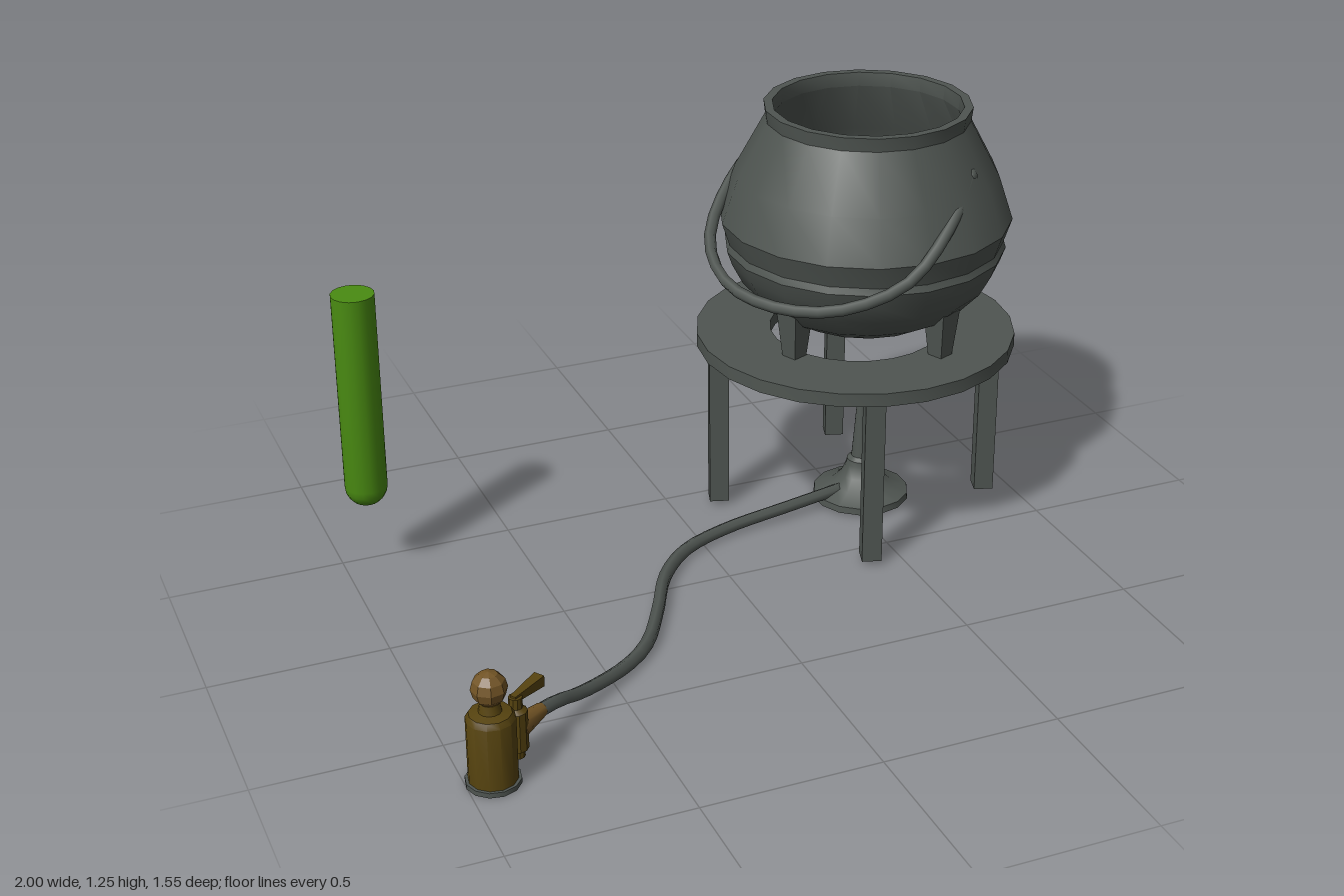
import * as THREE from 'three';
import { toCreasedNormals } from 'three/addons/utils/BufferGeometryUtils.js';

const mat = (name, color) => new THREE.MeshStandardMaterial({ name, color });

export function createModel() {
  const root = new THREE.Group();
  root.name = 'cauldronHeatingSet';

  const iron = mat('iron', 0x4f5551);
  const openIron = mat('hollowIron', 0x4f5551);
  openIron.side = THREE.DoubleSide;
  const brass = mat('brass', 0x725425);
  const darkBrass = mat('darkBrass', 0x56430f);
  const green = mat('greenGlass', 0x4a8c12);

  const add = (parent, name, geo, material, x = 0, y = 0, z = 0) => {
    const m = new THREE.Mesh(geo, material);
    m.name = name;
    m.position.set(x, y, z);
    parent.add(m);
    return m;
  };
  const group = (name, x, z) => {
    const g = new THREE.Group();
    g.name = name;
    g.position.set(x, 0, z);
    root.add(g);
    return g;
  };
  const lathe = (pts, seg, crease = 0.55) =>
    toCreasedNormals(new THREE.LatheGeometry(pts.map(p => new THREE.Vector2(p[0], p[1])), seg), crease);
  const curve = pts => new THREE.CatmullRomCurve3(pts.map(p => new THREE.Vector3(...p)));

  // Stand: ring top on four square legs
  const stand = group('stand', 0.53, -0.31);
  add(stand, 'standTop', lathe([
    [0.25, 0.525], [0.467, 0.525], [0.467, 0.565], [0.25, 0.565], [0.25, 0.525],
  ], 24), iron);
  for (let i = 0; i < 4; i++) {
    const a = 0.302 + i * Math.PI / 2;
    const leg = add(stand, 'standLeg', new THREE.BoxGeometry(0.057, 0.515, 0.057), iron,
      Math.cos(a) * 0.403, 0.27, Math.sin(a) * 0.403);
    leg.rotation.y = -a;
  }

  // Cauldron: hollow body with a groove below the widest line
  const pot = group('cauldron', 0.552, -0.305);
  add(pot, 'cauldronBody', lathe([
    [0, 0.597], [0.14, 0.602], [0.22, 0.62], [0.3, 0.665], [0.36, 0.73], [0.392, 0.79],
    [0.407, 0.832], [0.4, 0.852], [0.422, 0.92], [0.378, 1.05], [0.292, 1.21], [0.297, 1.25],
    [0.272, 1.25], [0.268, 1.21], [0.35, 1.05], [0.392, 0.92], [0.37, 0.81],
    [0.28, 0.69], [0.2, 0.65], [0, 0.63],
  ], 18, 0.6), iron);
  for (let i = 0; i < 4; i++) {
    const a = -0.405 + i * Math.PI / 2;
    const geo = new THREE.CylinderGeometry(0.052, 0.034, 0.14, 4, 1).rotateY(Math.PI / 4);
    const foot = add(pot, 'cauldronFoot', toCreasedNormals(geo, 0.5), iron,
      Math.cos(a) * 0.295, 0.633, Math.sin(a) * 0.295);
    foot.rotation.y = -a;
  }

  // Swinging handle, mirrored about its middle
  const half = [[0.33, 0, 1.1], [0.355, 0.15, 1.01], [0.32, 0.33, 0.89], [0.18, 0.46, 0.825]];
  const bail = [...half, [0, 0.5, 0.808], ...half.slice().reverse().map(([e, d, y]) => [-e, d, y])]
    .map(([e, d, y]) => [e * 0.57 - d * 0.82, y, e * 0.82 + d * 0.57]);
  add(pot, 'cauldronHandle', new THREE.TubeGeometry(curve(bail), 24, 0.017, 6), iron);
  for (const end of [bail[0], bail[bail.length - 1]]) {
    add(pot, 'handleLug', new THREE.SphereGeometry(0.022, 8, 6), iron, ...end);
  }

  // Burner: flared hollow foot, stem and brass nozzle
  const burner = group('burner', 0.555, -0.295);
  add(burner, 'burnerFoot', lathe([
    [0.145, 0.008], [0.143, 0.028], [0.09, 0.05], [0.06, 0.08], [0.045, 0.115],
    [0.043, 0.13], [0.03, 0.14], [0.017, 0.31],
  ], 14, 0.7), openIron);
  add(burner, 'burnerNozzle', toCreasedNormals(new THREE.CylinderGeometry(0.025, 0.025, 0.075, 10), 0.8),
    brass, 0, 0.348, 0);

  // Hose lying on the ground between tap and burner
  add(root, 'hose', new THREE.TubeGeometry(curve([
    [-0.77, 0.1, 0.59], [-0.71, 0.09, 0.55], [-0.62, 0.055, 0.485], [-0.45, 0.024, 0.365],
    [-0.36, 0.022, 0.28], [-0.27, 0.022, 0.13], [-0.18, 0.022, -0.04], [-0.07, 0.022, -0.155],
    [0.08, 0.024, -0.22], [0.3, 0.035, -0.255], [0.53, 0.045, -0.292],
  ]), 32, 0.019, 6), iron);

  // Gas tap: the local +x axis points along the hose
  const tap = group('gasTap', -0.93, 0.7);
  tap.rotation.y = 0.6;
  add(tap, 'tapBase', toCreasedNormals(new THREE.CylinderGeometry(0.072, 0.072, 0.014, 12), 0.8),
    iron, 0, 0.007, 0);
  add(tap, 'tapBody', lathe([
    [0, 0.013], [0.064, 0.013], [0.064, 0.19], [0.055, 0.205], [0.03, 0.21], [0.025, 0.235], [0, 0.235],
  ], 12), darkBrass);
  const ball = new THREE.SphereGeometry(0.047, 8, 6);
  add(tap, 'tapKnob', toCreasedNormals(ball, 0.2), brass, 0, 0.275, 0);
  add(tap, 'tapValve', lathe([
    [0, 0.02], [0.02, 0.02], [0.02, 0.04], [0.03, 0.045], [0.03, 0.155], [0.018, 0.165],
    [0.018, 0.195], [0, 0.195],
  ], 10), darkBrass, 0.1, 0, 0);
  const arm = new THREE.CylinderGeometry(0.019, 0.032, 0.1, 8).rotateZ(-Math.PI / 2);
  add(tap, 'tapOutlet', toCreasedNormals(arm, 0.9), brass, 0.155, 0.1, 0);

  // Lever widening toward its free end
  const lever = new THREE.CylinderGeometry(0.022, 0.012, 0.11, 4).rotateY(Math.PI / 4).rotateZ(-Math.PI / 2);
  add(tap, 'tapLever', toCreasedNormals(lever, 0.5), darkBrass, 0.145, 0.192, 0);

  // Round-bottomed green tube, floating apart
  const tube = [];
  for (let i = 0; i <= 5; i++) {
    const a = i / 5 * Math.PI / 2;
    tube.push([Math.sin(a) * 0.061, 0.275 - Math.cos(a) * 0.061]);
  }
  tube.push([0.061, 0.862], [0, 0.862]);
  add(root, 'testTube', lathe(tube, 16), green, -0.93, 0, -0.437);

  return root;
}
